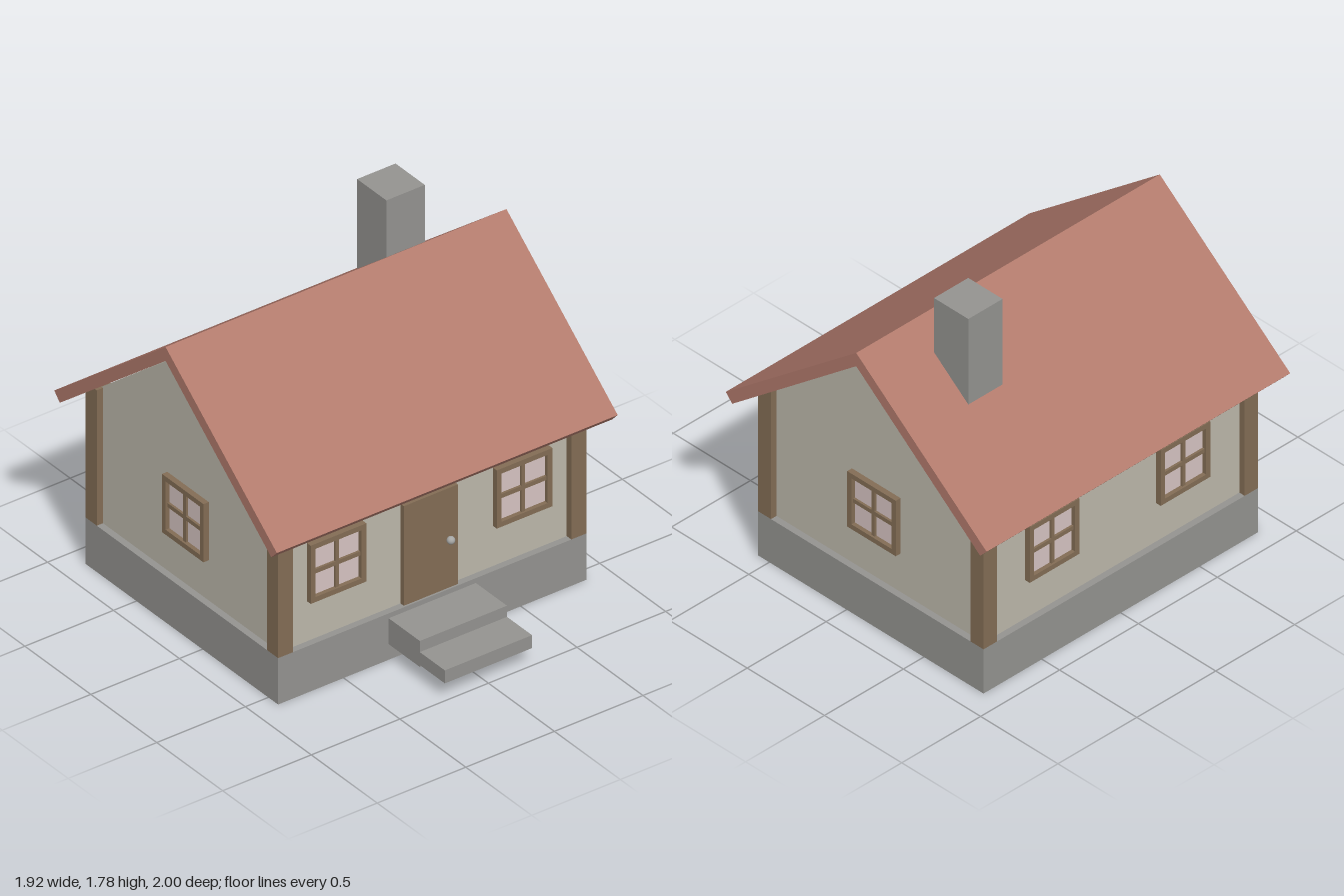
import * as THREE from 'three';

const paint = (name, color) => Object.assign(new THREE.MeshStandardMaterial({ color }), { name });

export function createModel() {
  const stone = paint('stone grey', 0x949390);
  const plaster = paint('plaster', 0xbcb8ab);
  const wood = paint('wood brown', 0x836d55);
  const tile = paint('roof tile red', 0xb17a6c);
  const glass = paint('window pane', 0xd6c4c2);
  const metal = paint('knob metal', 0xa6a6a4);

  const model = new THREE.Group();
  model.name = 'cottage';
  // the house is symmetric about its own centre, which sits behind the origin
  const house = new THREE.Group();
  house.name = 'house';
  house.position.z = -0.156;
  model.add(house);

  const add = (name, geometry, material, parent = house) => {
    const mesh = new THREE.Mesh(geometry, material);
    mesh.name = name;
    parent.add(mesh);
    return mesh;
  };
  // box given by its minimum and maximum corners
  const box = (name, material, [x0, y0, z0], [x1, y1, z1], parent) => {
    const mesh = add(name, new THREE.BoxGeometry(x1 - x0, y1 - y0, z1 - z0), material, parent);
    mesh.position.set((x0 + x1) / 2, (y0 + y1) / 2, (z0 + z1) / 2);
    return mesh;
  };
  // side profile (z, y) swept along x
  const sweep = (name, material, points, halfLength) => {
    const shape = new THREE.Shape(points.map(([z, y]) => new THREE.Vector2(z, y)));
    const geometry = new THREE.ExtrudeGeometry(shape, { depth: 2 * halfLength, bevelEnabled: false });
    geometry.translate(0, 0, -halfLength).rotateY(-Math.PI / 2);
    return add(name, geometry, material);
  };

  const W = 0.87, D = 0.73, floor = 0.25;   // foundation half sizes and top
  const wallX = 0.835, wallZ = 0.695;       // wall half sizes

  box('foundation', stone, [-W, 0, -D], [W, floor, D]);

  // walls with gable ends
  sweep('walls', plaster, [
    [-wallZ, floor], [wallZ, floor], [wallZ, 0.949], [0, 1.505], [-wallZ, 0.949],
  ], wallX);

  // roof of two slabs meeting at the ridge
  sweep('roof', tile, [
    [0, 1.585], [-0.844, 0.912], [-0.802, 0.867], [0, 1.51], [0.802, 0.867], [0.844, 0.912],
  ], 0.962);

  // corner posts
  const p = 0.085;
  for (const sx of [-1, 1]) for (const sz of [-1, 1]) {
    const post = add('cornerPost', new THREE.BoxGeometry(p, 0.73, p), wood);
    post.position.set(sx * (W - p / 2), floor + 0.365, sz * (D - p / 2));
  }

  box('chimney', stone, [0.387, 1.2, -0.36], [0.604, 1.782, -0.138]);

  // door and knob
  box('door', wood, [-0.153, floor, wallZ - 0.02], [0.152, 0.787, wallZ + 0.025]);
  add('doorKnob', new THREE.SphereGeometry(0.02, 20, 14), metal).position.set(0.1, 0.515, 0.737);

  // front steps
  box('upperStep', stone, [-0.246, 0.084, D - 0.02], [0.246, 0.224, 0.966]);
  box('lowerStep', stone, [-0.246, 0.094, 0.966], [0.246, 0.164, 1.156]);

  // window facing +z: frame ring, cross bars and pane
  const half = 0.157, inner = 0.13;
  const ring = new THREE.Shape([[-1, -1], [1, -1], [1, 1], [-1, 1]]
    .map(([x, y]) => new THREE.Vector2(x * half, y * half)));
  ring.holes.push(new THREE.Path([[-1, -1], [-1, 1], [1, 1], [1, -1]]
    .map(([x, y]) => new THREE.Vector2(x * inner, y * inner))));
  const frameGeometry = new THREE.ExtrudeGeometry(ring, { depth: 0.03, bevelEnabled: false });

  const addWindow = (x, z, turn) => {
    const win = new THREE.Group();
    win.name = 'window';
    win.position.set(x, 0.624, z);
    win.rotation.y = turn;
    house.add(win);
    add('windowFrame', frameGeometry, wood, win);
    box('verticalBar', wood, [-0.01, -inner, 0], [0.01, inner, 0.02], win);
    box('horizontalBar', wood, [-inner, -0.011, 0], [inner, 0.011, 0.02], win);
    box('windowPane', glass, [-inner, -inner, 0], [inner, inner, 0.008], win);
  };
  for (const s of [-1, 1]) {
    addWindow(s * 0.525, wallZ, 0);
    addWindow(s * 0.415, -wallZ, Math.PI);
    addWindow(s * wallX, 0, s * Math.PI / 2);
  }
  return model;
}
